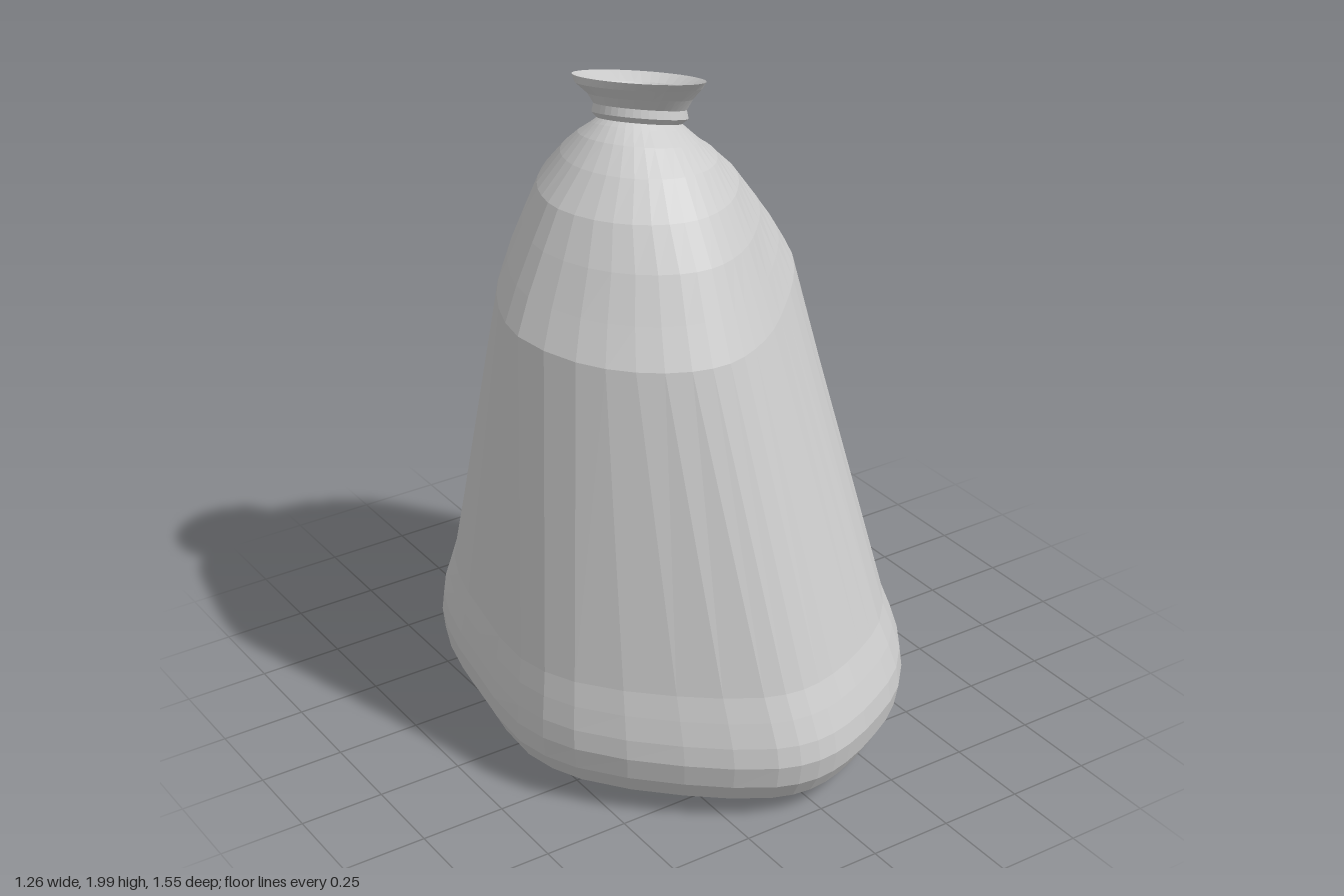
import * as THREE from 'three';

const SIDES = 38;

// Plan outlines (x, z), going from the front (+z) round by the left (+x).
const basePlan = [
  [-0.03, 0.775], [0.09, 0.755], [0.24, 0.69], [0.38, 0.6], [0.52, 0.42], [0.6, 0.2], [0.63, -0.05],
  [0.6, -0.25], [0.5, -0.48], [0.31, -0.66], [0, -0.78], [-0.25, -0.74], [-0.45, -0.6],
  [-0.55, -0.4], [-0.6, -0.15], [-0.635, 0.15], [-0.57, 0.35], [-0.36, 0.59], [-0.15, 0.745],
];
const shoulderPlan = [
  [-0.12, 0.45], [-0.02, 0.425], [0.08, 0.37], [0.18, 0.285], [0.28, 0.185], [0.36, 0.07], [0.405, -0.08],
  [0.39, -0.21], [0.31, -0.355], [0.19, -0.465], [0.02, -0.52], [-0.17, -0.485], [-0.32, -0.36],
  [-0.43, -0.24], [-0.505, -0.11], [-0.535, 0.04], [-0.47, 0.23], [-0.36, 0.355], [-0.23, 0.43],
];
const roundPlan = basePlan.map((_, i) => {
  const a = (i / basePlan.length) * Math.PI * 2;
  return [Math.sin(a), Math.cos(a)];
});

// Samples a plan as a smooth closed curve, scaled to the square -1..1.
function unitOutline(plan) {
  const curve = new THREE.CatmullRomCurve3(plan.map(([x, z]) => new THREE.Vector3(x, 0, z)), true);
  const points = Array.from({ length: SIDES }, (_, i) => curve.getPoint(i / SIDES));
  const box = new THREE.Box3().setFromPoints(points);
  const mid = box.getCenter(new THREE.Vector3());
  const size = box.getSize(new THREE.Vector3());
  return points.map((p) => [((p.x - mid.x) * 2) / size.x, ((p.z - mid.z) * 2) / size.z]);
}
const outlines = [basePlan, shoulderPlan, roundPlan].map(unitOutline);

// Ring: height, x range, z range, outline (0 base, 1 shoulder, 2 round), slope along x and z.
function ringPoints([y, x0, x1, z0, z1, shape, slopeX = 0, slopeZ = 0]) {
  const lower = Math.min(Math.floor(shape), 1);
  const t = shape - lower;
  return outlines[lower].map(([ax, az], i) => {
    const [bx, bz] = outlines[lower + 1][i];
    const dx = THREE.MathUtils.lerp(ax, bx, t) * (x1 - x0) / 2;
    const dz = THREE.MathUtils.lerp(az, bz, t) * (z1 - z0) / 2;
    return [(x0 + x1) / 2 + dx, Math.max(0, y + slopeX * dx + slopeZ * dz), (z0 + z1) / 2 + dz];
  });
}

// Skins consecutive rings; a ring without size closes the end as a fan.
function loft(name, rings, material) {
  const index = [];
  const isPoint = (r) => r[1] === r[2];
  for (let i = 0; i < rings.length - 1; i++) {
    for (let j = 0; j < SIDES; j++) {
      const k = (j + 1) % SIDES;
      const a = i * SIDES + j, b = i * SIDES + k;
      const c = a + SIDES, d = b + SIDES;
      if (!isPoint(rings[i])) index.push(a, b, d);
      if (!isPoint(rings[i + 1])) index.push(a, d, c);
    }
  }
  const geometry = new THREE.BufferGeometry();
  geometry.setAttribute('position', new THREE.Float32BufferAttribute(rings.flatMap(ringPoints).flat(), 3));
  geometry.setIndex(index);
  geometry.computeVertexNormals();
  const mesh = new THREE.Mesh(geometry, material);
  mesh.name = name;
  return mesh;
}

export function createModel() {
  const material = new THREE.MeshStandardMaterial({
    color: 0xcccccc, flatShading: true, side: THREE.DoubleSide,
  });

  // Filled sack: flat underside, bulging foot, long straight taper and sloping shoulders
  const body = [
    [0.025, 0, 0, 0, 0, 0],
    [0.016, -0.45, 0.46, -0.62, 0.53, 0, 0.015, -0.015],
    [0.032, -0.53, 0.53, -0.71, 0.66, 0, 0.015, -0.012],
    [0.07, -0.59, 0.59, -0.75, 0.73, 0, 0.01],
    [0.13, -0.625, 0.62, -0.772, 0.767, 0],
    [0.2, -0.635, 0.63, -0.775, 0.78, 0],
    [0.26, -0.632, 0.625, -0.76, 0.768, 0],
    [0.33, -0.622, 0.607, -0.73, 0.74, 0.02],
    [0.4, -0.61, 0.585, -0.705, 0.71, 0.05],
    [1.37, -0.53, 0.405, -0.525, 0.45, 1, 0.04, -0.1],
    [1.46, -0.485, 0.36, -0.495, 0.395, 1.05, 0.03, -0.07],
    [1.56, -0.43, 0.3, -0.445, 0.335, 1.15, 0, -0.03],
    [1.66, -0.375, 0.23, -0.38, 0.26, 1.35, -0.02],
    [1.74, -0.295, 0.155, -0.3, 0.175, 1.65, -0.08, 0.04],
    [1.785, -0.235, 0.105, -0.245, 0.1, 1.9, -0.18, 0.12],
    [1.81, -0.195, 0.08, -0.205, 0.045, 2, -0.25, 0.2],
  ];

  // Gathered neck with a crease, flared lip and the shallow hollow inside
  const mouth = [
    [1.81, -0.195, 0.08, -0.205, 0.045, 2, -0.25, 0.2],
    [1.825, -0.178, 0.062, -0.187, 0.027, 2, -0.25, 0.2],
    [1.84, -0.193, 0.082, -0.202, 0.04, 2, -0.25, 0.2],
    [1.865, -0.187, 0.077, -0.197, 0.035, 2, -0.25, 0.2],
    [1.895, -0.2, 0.09, -0.222, 0.06, 2, -0.22, 0.2],
    [1.925, -0.228, 0.117, -0.265, 0.09, 2, -0.2, 0.2],
    [1.947, -0.23, 0.12, -0.288, 0.115, 2, -0.2, 0.2],
    [1.922, -0.185, 0.075, -0.225, 0.065, 2, -0.2, 0.2],
    [1.885, -0.155, 0.045, -0.175, 0.025, 2, -0.2, 0.2],
    [1.84, -0.145, 0.025, -0.135, 0.01, 2, -0.2, 0.15],
    [1.835, -0.06, -0.06, -0.063, -0.063, 2],
  ];

  const group = new THREE.Group();
  group.name = 'tiedSack';
  group.add(loft('sackBody', body, material), loft('gatheredMouth', mouth, material));
  return group;
}
